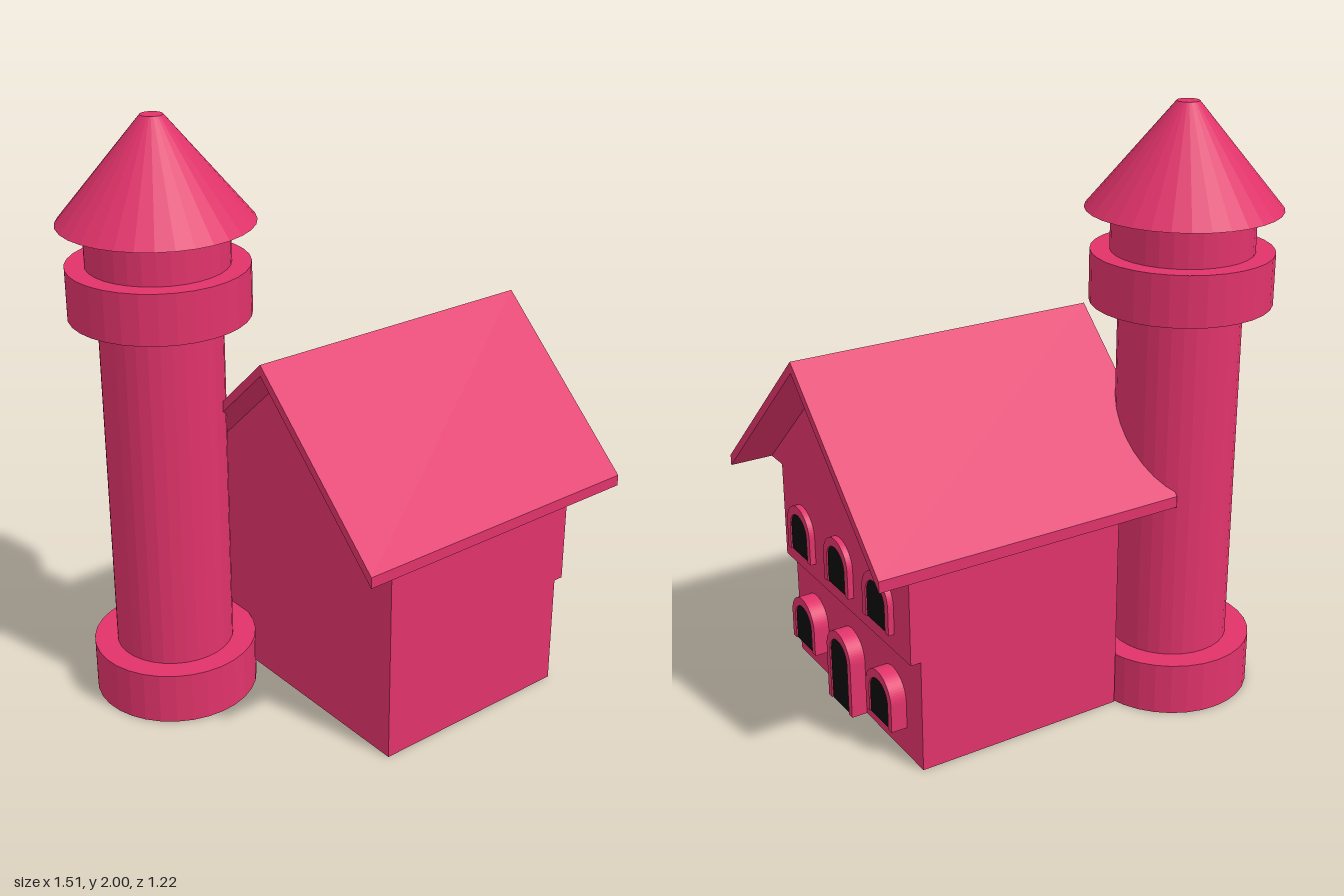
import * as THREE from 'three';

const pink = new THREE.MeshStandardMaterial({ color: 0xe0336a, flatShading: true });
const black = new THREE.MeshStandardMaterial({ color: 0x0c0c0c });

export function createModel() {
  const model = new THREE.Group();
  const add = (parent, name, geometry, material = pink) => {
    const mesh = new THREE.Mesh(geometry, material);
    mesh.name = name;
    parent.add(mesh);
    return mesh;
  };

  // Box given by its limits on each axis
  const box = (parent, name, [x0, x1], [y0, y1], [z0, z1]) =>
    add(parent, name, new THREE.BoxGeometry(x1 - x0, y1 - y0, z1 - z0))
      .position.set((x0 + x1) / 2, (y0 + y1) / 2, (z0 + z1) / 2);

  // Profile drawn in (-z, y), extruded from x0 to x1
  const extrudeX = (shape, x0, x1) =>
    new THREE.ExtrudeGeometry(shape, { depth: x1 - x0, bevelEnabled: false, curveSegments: 16 })
      .rotateY(Math.PI / 2).translate(x0, 0, 0);
  const polygon = (points) => new THREE.Shape(points.map(([x, y]) => new THREE.Vector2(x, y)));

  // House walls, the upper storey stepping out over the lower one
  const house = new THREE.Group();
  house.name = 'house';
  model.add(house);
  box(house, 'lowerStorey', [-0.17, 0.57], [0, 0.39], [-0.37, 0.525]);
  box(house, 'upperStorey', [-0.17, 0.605], [0.39, 0.73], [-0.37, 0.525]);

  // Gable block with flat soffit, and roof slabs that overhang it at both ends
  const ridge = -0.07, half = 0.54;
  add(house, 'gable', extrudeX(polygon([
    [ridge - half, 0.73], [ridge + half, 0.73], [ridge, 1.235],
  ]), -0.17, 0.605));
  add(house, 'roof', extrudeX(polygon([
    [ridge - half, 0.73], [ridge, 1.235], [ridge + half, 0.73],
    [ridge + half, 0.768], [ridge, 1.273], [ridge - half, 0.768],
  ]), -0.325, 0.755));

  // Arched surround with a dark opening; height is that of the opening
  const archway = (name, z, sill, height, wallX) => {
    const R = 0.087, r = 0.0635;
    const spring = height - r, outerSpring = height + 0.031 - R;
    const surround = new THREE.Shape();
    surround.moveTo(-R, 0);
    surround.lineTo(-R, outerSpring);
    surround.absarc(0, outerSpring, R, Math.PI, 0, true);
    surround.lineTo(R, 0);
    surround.lineTo(r, 0);
    surround.lineTo(r, spring);
    surround.absarc(0, spring, r, 0, Math.PI, false);
    surround.lineTo(-r, 0);
    const opening = new THREE.Shape();
    opening.moveTo(-r, 0);
    opening.lineTo(r, 0);
    opening.lineTo(r, spring);
    opening.absarc(0, spring, r, 0, Math.PI, false);
    const group = new THREE.Group();
    group.name = name;
    group.position.set(0, sill, z);
    add(group, 'surround', extrudeX(surround, wallX - 0.01, 0.625));
    add(group, 'opening', extrudeX(opening, wallX - 0.01, 0.62), black);
    house.add(group);
  };
  for (const z of [0.375, 0.095, -0.18]) archway('upperWindow', z, 0.45, 0.15, 0.605);
  for (const z of [0.375, -0.18]) archway('lowerWindow', z, 0.1, 0.15, 0.57);
  archway('door', 0.104, 0, 0.25, 0.57);

  // Round tower: stacked drums and a blunt conical roof
  const tower = new THREE.Group();
  tower.name = 'tower';
  tower.position.set(-0.443, 0, -0.297);
  model.add(tower);
  const drums = [
    ['towerBase', 0.278, 0.278, 0, 0.18],
    ['towerShaft', 0.2, 0.2, 0.18, 1.365],
    ['towerGallery', 0.293, 0.293, 1.365, 1.532],
    ['towerLantern', 0.23, 0.23, 1.532, 1.667],
    ['towerRoof', 0.036, 0.313, 1.667, 2],
  ];
  for (const [name, top, bottom, y0, y1] of drums) {
    add(tower, name, new THREE.CylinderGeometry(top, bottom, y1 - y0, 32))
      .position.y = (y0 + y1) / 2;
  }

  return model;
}
